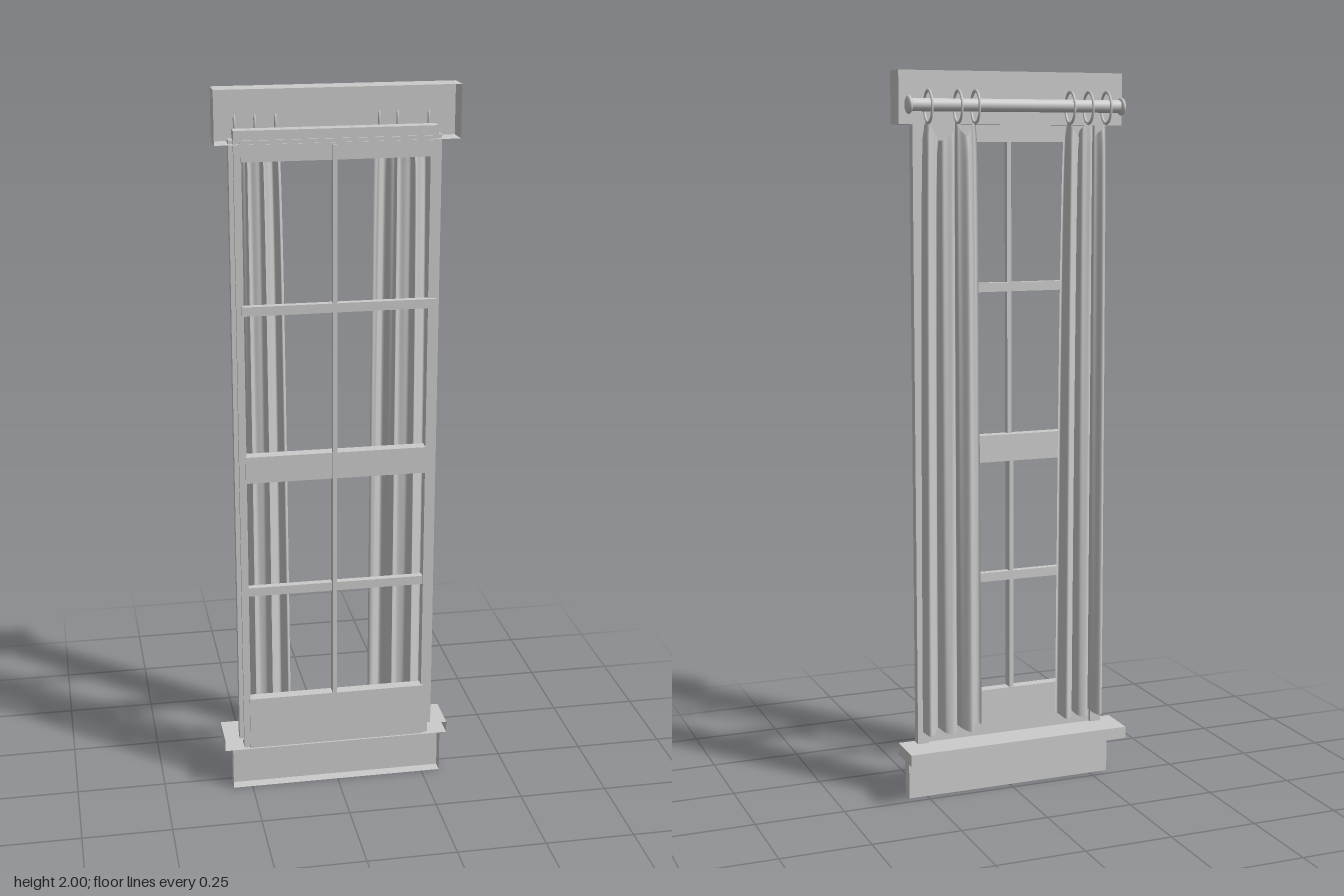
import * as THREE from 'three';

const grey = new THREE.MeshStandardMaterial({ color: 0xcccccc });
const sheet = new THREE.MeshStandardMaterial({ color: 0xcccccc, side: THREE.DoubleSide });

export function createModel() {
  const model = new THREE.Group();
  model.name = 'curtainedWindow';

  const add = (name, geometry, material = grey) => {
    const mesh = new THREE.Mesh(geometry, material);
    mesh.name = name;
    model.add(mesh);
    return mesh;
  };

  // Box given by its limits on each axis
  const box = (name, x0, x1, y0, y1, z0, z1) => {
    const g = new THREE.BoxGeometry(x1 - x0, y1 - y0, z1 - z0);
    g.translate((x0 + x1) / 2, (y0 + y1) / 2, (z0 + z1) / 2);
    return add(name, g);
  };

  // Box without its front face, as the trim is open on the wall side
  const openBox = (name, ...limits) => {
    const mesh = box(name, ...limits);
    const index = Array.from(mesh.geometry.index.array);
    index.splice(24, 6);
    mesh.geometry.setIndex(index);
    mesh.geometry.clearGroups();
    mesh.material = sheet;
  };

  // Trim around the opening
  openBox('header', -0.322, 0.322, 1.86, 2.0, 0, 0.068);
  openBox('sill', -0.327, 0.323, 0.122, 0.155, -0.056, 0.057);
  openBox('apron', -0.305, 0.303, 0, 0.122, 0.025, 0.057);

  // Jambs and the sash stiles inside them
  for (const [side, s] of [['left', 1], ['right', -1]]) {
    const span = (a, b) => (s > 0 ? [a - 0.008, b - 0.008] : [-b, -a]);
    box(side + 'Jamb', ...span(0.268, 0.284), 0.155, 1.87, 0.025, 0.05);
    box(side + 'Stile', ...span(0.252, 0.272), 0.13, 1.89, 0.025, 0.06);
  }

  // Sash rails and glazing bars
  box('headRail', -0.272, 0.264, 1.865, 1.895, 0.025, 0.062);
  box('topRail', -0.255, 0.248, 1.815, 1.87, 0.04, 0.066);
  box('upperCrossBar', -0.258, 0.265, 1.41, 1.435, 0.05, 0.07);
  box('meetingRail', -0.255, 0.248, 0.94, 1.015, 0.032, 0.066);
  box('lowerCrossBar', -0.255, 0.248, 0.6, 0.625, 0.035, 0.055);
  box('bottomRail', -0.255, 0.248, 0.13, 0.285, 0.035, 0.066);
  box('upperUprightBar', -0.016, -0.004, 0.98, 1.855, 0.052, 0.07);
  box('lowerUprightBar', -0.016, -0.004, 0.15, 0.98, 0.037, 0.067);

  // Curtain rod with rounded finials
  const rodY = 1.91, rodZ = -0.032;
  const rod = add('rod', new THREE.CylinderGeometry(0.017, 0.017, 0.6, 24));
  rod.rotation.z = Math.PI / 2;
  rod.position.set(0, rodY, rodZ);
  for (const s of [1, -1]) {
    const finial = add(s > 0 ? 'leftFinial' : 'rightFinial', new THREE.SphereGeometry(1, 24, 16));
    finial.scale.set(0.009, 0.024, 0.024);
    finial.position.set(s * 0.305, rodY, rodZ);
  }

  // Slightly oval rings hanging on the rod
  const leftRings = [0.119, 0.168, 0.251], rightRings = [-0.261, -0.208, -0.154];
  for (const x of [...leftRings, ...rightRings]) {
    const ring = add('ring', new THREE.TorusGeometry(0.032, 0.0035, 8, 32));
    ring.scale.y = 1.3;
    ring.rotation.y = Math.PI / 2;
    ring.position.set(x, 1.906, -0.031);
  }

  // Curtain: a pleated sheet gathered at the rings and fuller towards the hem
  const curtain = (name, rings, topX, hemX, phase) => {
    const g = new THREE.PlaneGeometry(1, 1, 90, 48);
    const p = g.attributes.position;
    const lerp = THREE.MathUtils.lerp;
    for (let i = 0; i < p.count; i++) {
      const u = p.getX(i) + 0.5, d = 0.5 - p.getY(i);
      const open = Math.pow(d, 0.35);
      const a = u * Math.PI * 6 + phase;
      const x = lerp(lerp(...topX, u), lerp(...hemX, u), open);
      const gap = Math.min(...rings.map((r) => Math.abs(r - lerp(...topX, u))));
      const top = 1.868 - Math.min(0.05, gap * 1.6);
      const depth = lerp(0.01, 0.023, open);
      const fold = Math.sin(a) * 0.75 + Math.sin(a * 2.3 + 1) * 0.25 * (1 - d * 0.6);
      const sway = 0.006 * Math.cos(a) * Math.sin(u * Math.PI);
      p.setXYZ(i, x + sway, lerp(top, 0.2 + 0.006 * Math.sin(a), d), -0.02 + depth * fold);
    }
    g.computeVertexNormals();
    add(name, g, sheet);
  };
  curtain('leftCurtain', leftRings, [0.112, 0.256], [0.1, 0.274], 0.4);
  curtain('rightCurtain', rightRings, [-0.266, -0.146], [-0.274, -0.127], 2);

  return model;
}
